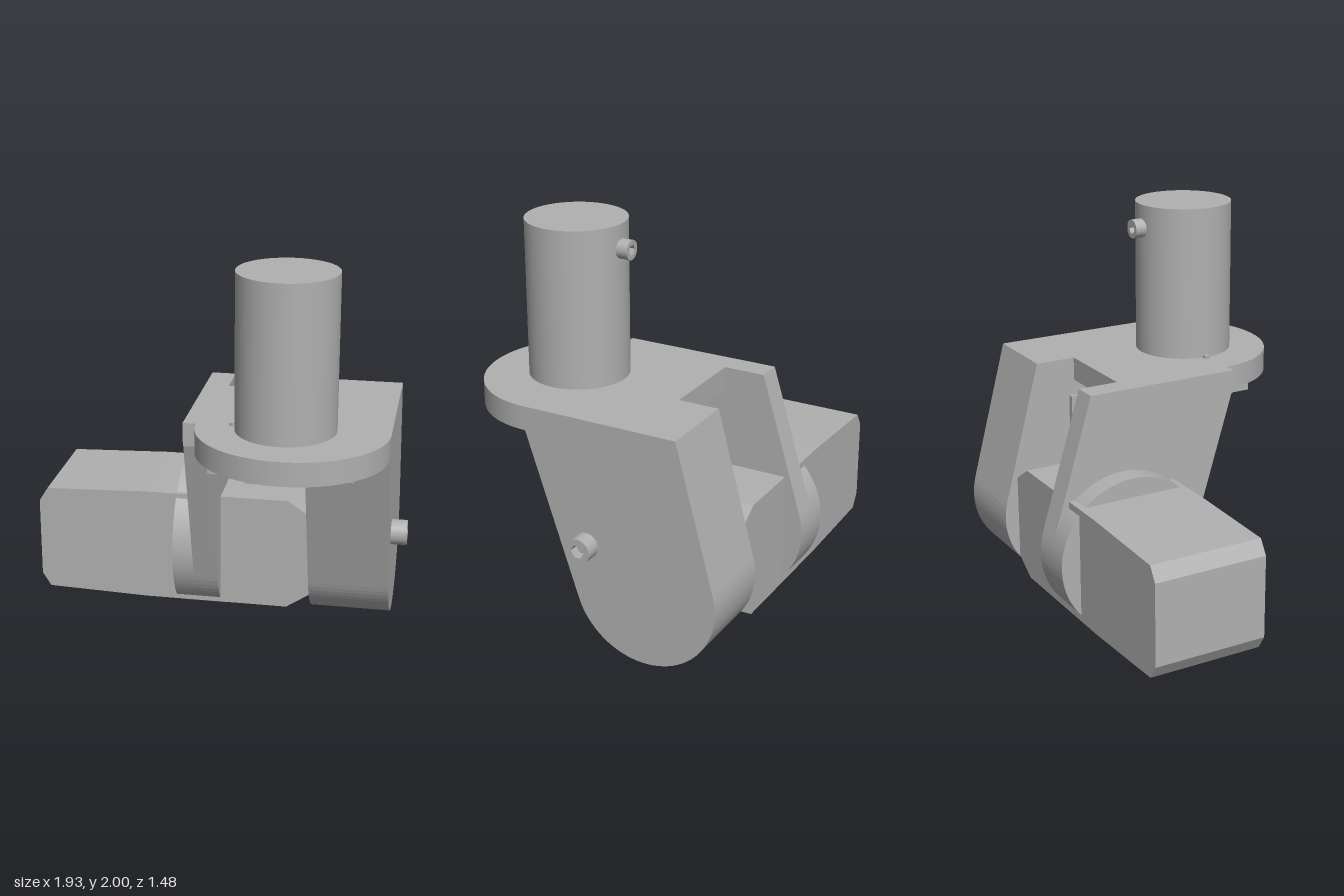
import * as THREE from 'three';

const steel = new THREE.MeshStandardMaterial({ color: 0xb0b0b0 });
steel.name = 'grey steel';

export function createModel() {
  const model = new THREE.Group();
  model.name = 'swivelFork';

  const add = (name, geometry, x = 0, y = 0, z = 0, parent = model) => {
    const mesh = new THREE.Mesh(geometry, steel);
    mesh.name = name;
    mesh.position.set(x, y, z);
    parent.add(mesh);
    return mesh;
  };
  const shapeOf = (pts) => new THREE.Shape(pts.map(([a, b]) => new THREE.Vector2(a, b)));
  const extrude = (shape, depth) =>
    new THREE.ExtrudeGeometry(shape, { depth, bevelEnabled: false, curveSegments: 40 });
  // Side profile given as [z, y], extruded from x0 to x1
  const sideProfile = (pts, x0, x1) =>
    extrude(shapeOf(pts.map(([z, y]) => [-z, y])), x1 - x0).rotateY(Math.PI / 2).translate(x0, 0, 0);
  const box = (name, x0, x1, y0, y1, z0, z1) =>
    add(name, new THREE.BoxGeometry(x1 - x0, y1 - y0, z1 - z0), (x0 + x1) / 2, (y0 + y1) / 2, (z0 + z1) / 2);

  // Fork arms: slanted edges running tangent into a round lower end
  const pivotZ = -0.34, pivotY = 0.4;
  function armProfile(r) {
    const tangent = (z, y, sign) => {
      const dz = z - pivotZ, dy = y - pivotY;
      return Math.atan2(dy, dz) + sign * Math.acos(r / Math.hypot(dz, dy));
    };
    const start = tangent(0.29, 1.1, -1);
    const end = tangent(-0.51, 1.22, 1) - Math.PI * 2;
    const pts = [[-0.51, 1.22], [0.3, 1.22], [0.3, 1.1], [0.29, 1.1]];
    for (let i = 0; i <= 40; i++) {
      const a = start + ((end - start) * i) / 40;
      pts.push([pivotZ + r * Math.cos(a), pivotY + r * Math.sin(a)]);
    }
    return pts;
  }
  add('wideArm', sideProfile(armProfile(0.375), 0.47, 0.885));
  add('narrowArm', sideProfile(armProfile(0.4), -0.125, 0));
  add('clampDisc', new THREE.CylinderGeometry(0.4, 0.4, 0.11, 64).rotateZ(Math.PI / 2), -0.18, pivotY, pivotZ);

  // Top plate: round front, bridge between the arms, open slot behind
  const plate = shapeOf([[0.885, -0.3], [0.47, -0.3], [0.47, 0.3], [0, 0.3], [0, -0.3], [-0.06, -0.3]]);
  plate.absellipse(0.4125, -0.3, 0.4725, 0.44, Math.PI, Math.PI * 2, false, 0);
  add('topPlate', extrude(plate, 0.12).rotateX(-Math.PI / 2), 0, 1.1, 0);

  // Upright shaft and locating pin
  add('shaft', new THREE.CylinderGeometry(0.247, 0.247, 0.78, 64), 0.38, 1.61, 0.302);
  add('locatingPin', new THREE.CylinderGeometry(0.017, 0.017, 0.016, 16), 0.12, 1.228, 0.29);

  // Square bar gripped by the fork, bevelled at both ends
  const bar = shapeOf([
    [-0.97, 0.19], [-0.925, 0.118], [-0.4, 0.1], [0.35, 0.1], [0.47, 0.18],
    [0.47, 0.62], [0.35, 0.7], [-0.4, 0.7], [-0.925, 0.682], [-0.97, 0.61],
  ]);
  add('squareBar', extrude(bar, 0.59), 0, 0, -0.64);

  // Socket screws: round head with a hexagonal recess, facing +z
  function socketScrew(name, r, length) {
    const group = new THREE.Group();
    group.name = name;
    const head = new THREE.Shape().absarc(0, 0, r, 0, Math.PI * 2, false);
    const hex = [];
    for (let i = 0; i < 6; i++) {
      const a = (-i * Math.PI) / 3;
      hex.push(new THREE.Vector2(Math.cos(a) * r * 0.55, Math.sin(a) * r * 0.55));
    }
    head.holes.push(new THREE.Path(hex));
    add('screwHead', extrude(head, length), 0, 0, 0, group);
    add('socketFloor', new THREE.CircleGeometry(r * 0.6, 24), 0, 0, length * 0.4, group);
    model.add(group);
    return group;
  }
  const sideScrew = socketScrew('sideScrew', 0.064, 0.08);
  sideScrew.position.set(0.885, 0.58, -0.033);
  sideScrew.rotation.y = Math.PI / 2;
  const shaftScrew = socketScrew('shaftScrew', 0.048, 0.07);
  shaftScrew.position.set(0.38, 1.88, 0.07);
  shaftScrew.rotation.y = Math.PI;

  // Stop bar and sloped tab beneath the plate
  box('stopBar', 0.03, 0.73, 1.04, 1.1, 0.3, 0.49);
  add('slopedTab', sideProfile([[0.3, 1.1], [0.3, 1.04], [0.56, 1.04], [0.67, 1.075], [0.67, 1.1]], 0.24, 0.53));

  // Small switch on the inner face of the wide arm
  box('switchBase', 0.44, 0.47, 0.7, 1.02, -0.33, -0.05);
  box('switchCover', 0.425, 0.44, 0.79, 1.0, -0.29, -0.09);
  for (const z of [-0.25, -0.13]) {
    box('switchPost', 0.403, 0.418, 0.76, 0.88, z - 0.02, z + 0.02);
    box('switchPostFoot', 0.41, 0.43, 0.87, 0.89, z - 0.02, z + 0.02);
  }
  add('switchKnob', new THREE.CylinderGeometry(0.025, 0.025, 0.05, 16).rotateZ(Math.PI / 2), 0.415, 0.96, -0.19);
  box('switchBlade', 0.382, 0.39, 0.94, 1.03, -0.22, -0.16);

  return model;
}
